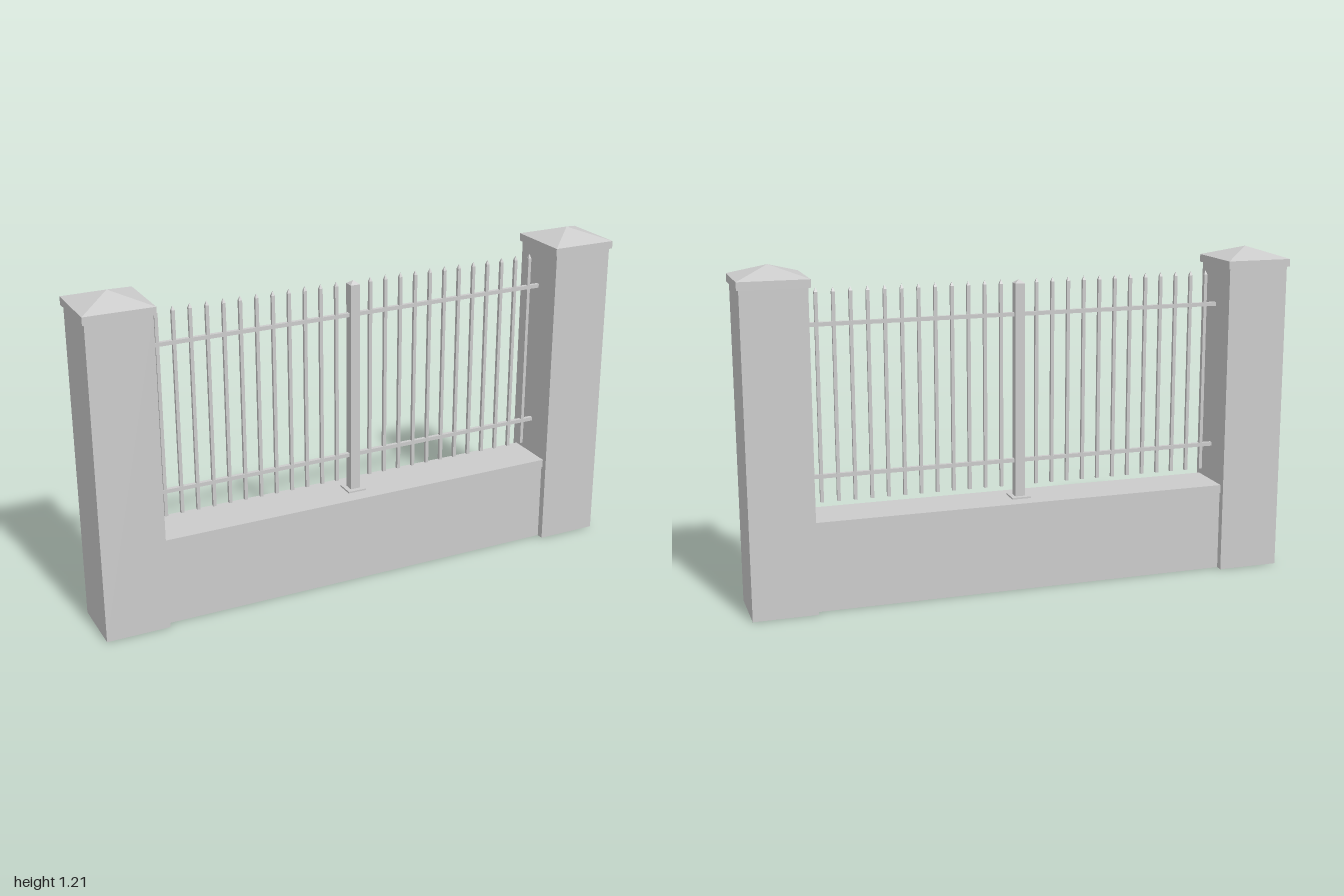
import * as THREE from 'three';

const material = new THREE.MeshStandardMaterial({ color: 0xcccccc, flatShading: true, side: THREE.DoubleSide });

function add(parent, name, geometry, x = 0, y = 0, z = 0) {
  const mesh = new THREE.Mesh(geometry, material);
  mesh.name = name;
  mesh.position.set(x, y, z);
  parent.add(mesh);
  return mesh;
}

// Box standing on y0 and reaching y1
function block(parent, name, w, d, y0, y1, x = 0) {
  return add(parent, name, new THREE.BoxGeometry(w, y1 - y0, d), x, (y0 + y1) / 2);
}

// Box without its underside
function openBlock(parent, name, w, d, y0, y1, x = 0) {
  const mesh = block(parent, name, w, d, y0, y1, x);
  const index = Array.from(mesh.geometry.index.array);
  index.splice(18, 6); // the fourth side of a box is its bottom
  mesh.geometry.setIndex(index);
  return mesh;
}

// Square pyramid with its sides along x and z
function pyramid(parent, name, w, y0, y1, x = 0) {
  const geometry = new THREE.ConeGeometry(w / Math.SQRT2, y1 - y0, 4, 1, true);
  geometry.rotateY(Math.PI / 4);
  return add(parent, name, geometry, x, (y0 + y1) / 2);
}

export function createModel() {
  const fence = new THREE.Group();
  fence.name = 'fence';

  // Low wall with a slightly overhanging coping
  openBlock(fence, 'wall', 1.54, 0.174, 0, 0.295);
  block(fence, 'coping', 1.54, 0.188, 0.295, 0.325);

  for (const side of [-1, 1]) {
    // Masonry pillar with a pyramid cap
    const pillar = new THREE.Group();
    pillar.name = side > 0 ? 'leftPillar' : 'rightPillar';
    pillar.position.x = side * 0.878;
    openBlock(pillar, 'pillarShaft', 0.228, 0.228, 0, 1.137);
    block(pillar, 'pillarCapSlab', 0.244, 0.244, 1.137, 1.165);
    pyramid(pillar, 'pillarCapTop', 0.244, 1.165, 1.205);
    fence.add(pillar);

    // Pointed pickets
    for (let i = 0; i < 12; i++) {
      const x = side * (0.066 + i * 0.0595);
      block(fence, 'picket', 0.012, 0.012, 0.37, 1.105, x);
      pyramid(fence, 'picketTip', 0.012, 1.105, 1.121, x);
    }
  }

  // Horizontal rails
  for (const y of [0.463, 0.995]) block(fence, 'rail', 1.54, 0.014, y - 0.007, y + 0.007);

  // Middle post on its base plate
  block(fence, 'basePlate', 0.07, 0.07, 0.325, 0.331);
  block(fence, 'middlePost', 0.036, 0.036, 0.331, 1.105);
  pyramid(fence, 'middlePostTip', 0.036, 1.105, 1.118);

  return fence;
}
